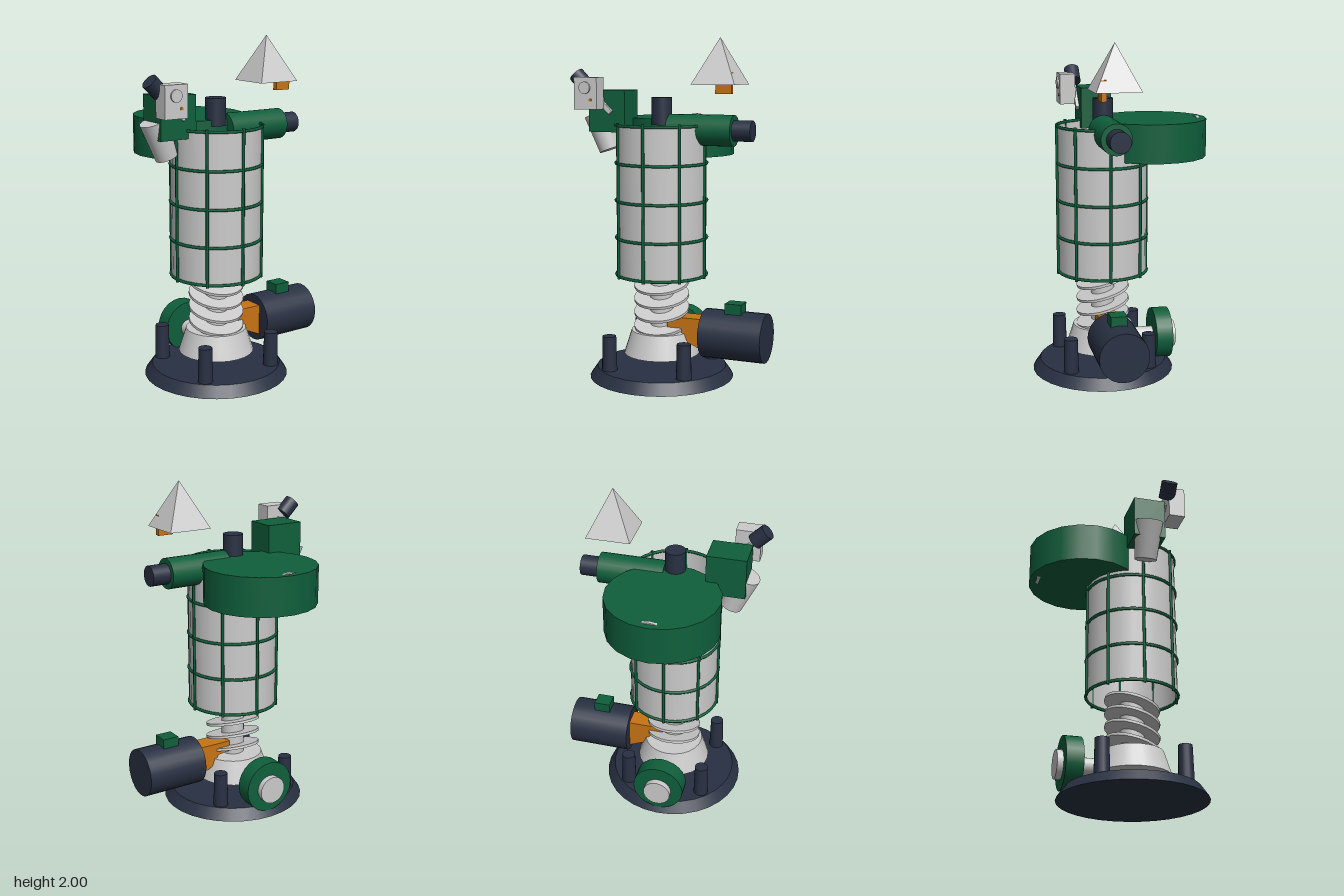
import * as THREE from 'three';

const AX = -0.06, AZ = 0.095; // main vertical axis

const mat = (color, side = THREE.FrontSide) => new THREE.MeshStandardMaterial({ color, side });
const grey = mat(0xcccccc);
const greyThin = mat(0xcccccc, THREE.DoubleSide);
const greyFlat = new THREE.MeshStandardMaterial({ color: 0xcccccc, flatShading: true });
const green = mat(0x0f5f3c);
const dark = mat(0x283042);
const orange = mat(0xc87414);

export function createModel() {
  const model = new THREE.Group();

  const add = (name, geometry, material, x, y, z, parent = model) => {
    const mesh = new THREE.Mesh(geometry, material);
    mesh.name = name;
    mesh.position.set(x, y, z);
    parent.add(mesh);
    return mesh;
  };
  const group = (name) => {
    const g = new THREE.Group();
    g.name = name;
    model.add(g);
    return g;
  };
  const cyl = (rTop, rBottom, h, seg = 24) => new THREE.CylinderGeometry(rTop, rBottom, h, seg);
  // Box given by its limits on each axis
  const box = (name, material, x0, x1, y0, y1, z0, z1) =>
    add(name, new THREE.BoxGeometry(x1 - x0, y1 - y0, z1 - z0), material, (x0 + x1) / 2, (y0 + y1) / 2, (z0 + z1) / 2);
  // Cylinder lying along x or z
  const cylX = (name, material, r, x0, x1, y, z) =>
    add(name, cyl(r, r, x1 - x0).rotateZ(Math.PI / 2), material, (x0 + x1) / 2, y, z);
  const cylZ = (name, material, r, z0, z1, x, y) =>
    add(name, cyl(r, r, z1 - z0).rotateX(Math.PI / 2), material, x, y, (z0 + z1) / 2);

  // Base plate with four posts
  add('basePlate', cyl(0.385, 0.43, 0.065, 32), dark, AX, 0.0325, AZ);
  const posts = group('posts');
  for (const sx of [-1, 1])
    for (const sz of [-1, 1])
      add('post', cyl(0.04, 0.045, 0.205, 16), dark, AX + sx * 0.235, 0.1675, AZ + sz * 0.235, posts);

  // Lower hub, column and tilted plates of the spring
  add('lowerHub', cyl(0.18, 0.225, 0.14), grey, AX, 0.21, AZ);
  add('column', cyl(0.07, 0.07, 0.34), grey, AX, 0.44, AZ);
  const spring = group('spring');
  for (let i = 0; i < 4; i++) {
    const coil = add('springCoil', cyl(0.165, 0.165, 0.016), grey, AX, 0.318 + i * 0.082, AZ, spring);
    coil.rotation.x = 0.265;
  }

  // Open barrel with a cage of rings and bars
  add('barrel', new THREE.CylinderGeometry(0.265, 0.265, 0.89, 24, 1, true), greyThin, AX, 1.06, AZ);
  const cage = group('cage');
  for (let i = 0; i < 5; i++)
    add('cageRing', new THREE.TorusGeometry(0.268, 0.009, 6, 32).rotateX(Math.PI / 2), green, AX, 0.62 + i * 0.22, AZ, cage);
  for (let i = 0; i < 8; i++) {
    const a = (i * Math.PI) / 4;
    add('cageBar', cyl(0.009, 0.009, 0.91, 6), green, AX + 0.27 * Math.sin(a), 1.06, AZ + 0.27 * Math.cos(a), cage);
  }

  // Rear wheel on its axle
  cylZ('axle', grey, 0.05, -0.22, -0.03, AX, 0.18);
  cylZ('rearWheel', green, 0.155, -0.315, -0.215, AX, 0.19);
  cylZ('rearWheelCap', grey, 0.083, -0.35, -0.31, AX, 0.18);

  // Side motor with terminal box and wedge bracket
  cylX('motor', dark, 0.144, 0.22, 0.595, 0.285, AZ);
  box('motorTerminal', green, 0.355, 0.455, 0.41, 0.48, 0.05, 0.145);
  const wedge = new THREE.Shape(
    [[0, 0.31], [0.08, 0.3], [0.13, 0.23], [0.22, 0.19], [0.22, 0.375], [0, 0.375]].map((p) => new THREE.Vector2(...p)));
  add('motorBracket', new THREE.ExtrudeGeometry(wedge, { depth: 0.12, bevelEnabled: false }), orange, 0, 0, AZ - 0.06);

  // Upper drum, its rear disc and the top knob
  add('drum', cyl(0.33, 0.33, 0.225, 20), green, AX, 1.4225, -0.2);
  cylZ('drumDisc', grey, 0.121, -0.49, -0.47, AX, 1.4225);
  add('topKnob', cyl(0.06, 0.06, 0.16), dark, AX, 1.58, 0.09);

  // Side arm with dark end
  cylX('sideArm', green, 0.09, 0, 0.39, 1.475, 0.097);
  cylX('sideArmEnd', dark, 0.06, 0.38, 0.5, 1.475, 0.097);

  // Square pyramid with its small block
  add('pyramid', new THREE.ConeGeometry(0.13 * Math.SQRT2, 0.265, 4).rotateY(Math.PI / 4), greyFlat, 0.3, 1.8675, 0.09);
  box('pyramidBlock', orange, 0.305, 0.4, 1.685, 1.803, 0.155, 0.185);

  // Side housing with a slanted tapered nozzle
  box('sideHousing', green, -0.485, -0.255, 1.455, 1.7, 0, 0.185);
  const nozzle = add('nozzle', cyl(0.083, 0.065, 0.226), grey, -0.433, 1.452, 0.09);
  nozzle.rotation.z = 0.36;

  // Control box with dial, indicator, lever and tilted dark knob
  box('controlBox', grey, -0.525, -0.38, 1.59, 1.775, 0.2, 0.295);
  cylZ('dial', grey, 0.035, 0.29, 0.305, -0.455, 1.715);
  cylZ('indicator', orange, 0.009, 0.29, 0.3, -0.42, 1.645);
  const lever = add('lever', new THREE.BoxGeometry(0.18, 0.028, 0.02), grey, -0.403, 1.632, 0.195);
  lever.rotation.z = -0.77;
  const knob = add('controlKnob', cyl(0.047, 0.047, 0.1, 16), dark, -0.525, 1.755, 0.195);
  knob.rotation.z = Math.PI / 4;

  return model;
}
